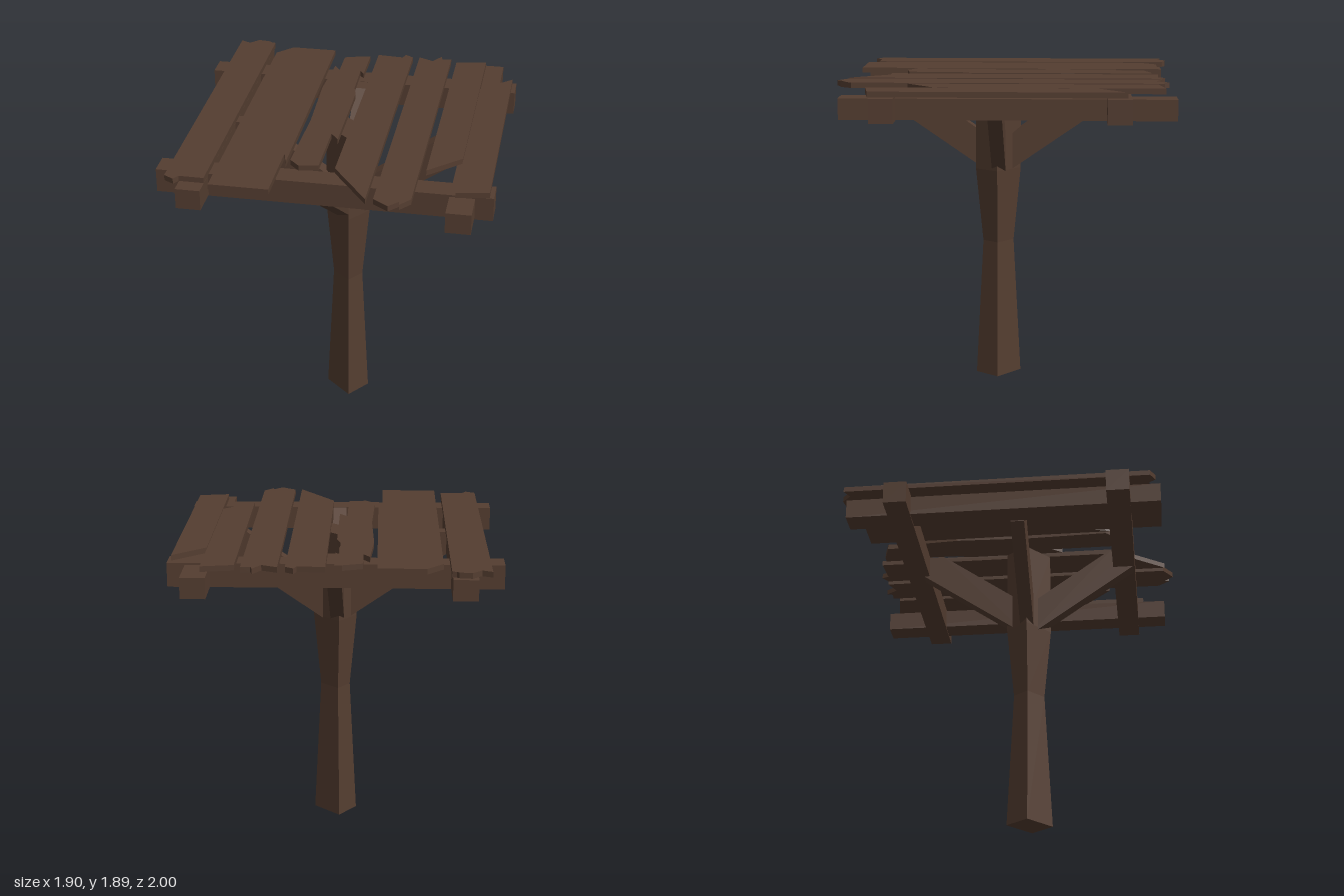
import * as THREE from 'three';

const wood = new THREE.MeshStandardMaterial({ color: 0x543d30 });
wood.name = 'dark brown wood';

function add(group, name, geometry) {
  const mesh = new THREE.Mesh(geometry, wood);
  mesh.name = name;
  group.add(mesh);
  return mesh;
}

// Box given by its limits on each axis
function beam(group, name, [x0, x1], [y0, y1], [z0, z1]) {
  add(group, name, new THREE.BoxGeometry(x1 - x0, y1 - y0, z1 - z0))
    .position.set((x0 + x1) / 2, (y0 + y1) / 2, (z0 + z1) / 2);
}

// Flat board cut to an outline of [x, y] points
function board(points, depth) {
  const shape = new THREE.Shape(points.map(([x, y]) => new THREE.Vector2(x, y)));
  return new THREE.ExtrudeGeometry(shape, { depth, bevelEnabled: false });
}

// Waisted four-sided post built from [height, scale] sections
function postGeometry() {
  const corners = [[0.0275, 0.1375], [0.1325, 0.0025], [-0.0275, -0.1375], [-0.1325, -0.0025]];
  const rings = [[0, 1], [0.855, 0.68], [1.31, 1], [1.858, 1]]
    .map(([y, s]) => corners.map(([x, z]) => [x * s, y, z * s]));
  const pos = [];
  const quad = (a, b, c, d) => pos.push(...a, ...b, ...c, ...a, ...c, ...d);
  for (let r = 0; r < 3; r++) {
    for (let i = 0; i < 4; i++) {
      const j = (i + 1) % 4;
      quad(rings[r][i], rings[r][j], rings[r + 1][j], rings[r + 1][i]);
    }
  }
  quad(...rings[3]);
  quad(...[...rings[0]].reverse());
  const g = new THREE.BufferGeometry();
  g.setAttribute('position', new THREE.Float32BufferAttribute(pos, 3));
  g.computeVertexNormals();
  return g;
}

// Plank outlines, [x, z], with broken and splintered ends
const PLANKS = [
  [[-0.868, -0.974], [-0.81, -0.947], [-0.757, -1], [-0.683, -0.99], [-0.67, -0.977], [-0.645, -0.973],
    [-0.645, 0.873], [-0.788, 0.873], [-0.81, 0.91], [-0.868, 0.878]],
  [[-0.605, -0.825], [-0.513, -0.925], [-0.238, -0.925], [-0.238, 0.614], [-0.265, 0.513],
    [-0.265, 0.937], [-0.605, 0.937]],
  [[-0.159, -0.83], [-0.042, -0.868], [0, -0.868], [0, -0.608], [-0.026, -0.645], [-0.021, -0.397],
    [0, -0.317], [0, 0.29], [-0.048, 0.228], [-0.048, 0.619], [-0.159, 0.64], [-0.217, 0.582],
    [-0.201, 0.08], [-0.217, -0.37], [-0.196, -0.693], [-0.159, -0.64]],
  [[0.048, -0.905], [0.206, -0.894], [0.222, -0.937], [0.27, -0.905], [0.27, 0.947], [0.048, 0.635]],
  [[0.312, -0.915], [0.402, -0.873], [0.45, -0.947], [0.46, -0.91], [0.516, -0.915], [0.516, 0.905],
    [0.46, 0.974], [0.455, 0.942], [0.402, 1], [0.312, 0.937]],
  [[0.553, -0.878], [0.739, -0.91], [0.739, 0.397], [0.553, 0.571]],
  [[0.741, -0.519], [0.926, -0.688], [0.926, 0.762], [0.741, 0.794]],
];

export function createModel() {
  const model = new THREE.Group();
  model.name = 'woodenPlatform';

  add(model, 'post', postGeometry()).position.set(0.0225, 0, 0.0675);

  // Crossing frame beams
  const frame = new THREE.Group();
  frame.name = 'frame';
  model.add(frame);
  beam(frame, 'backCrossBeam', [-0.955, 0.95], [1.717, 1.857], [-0.713, -0.574]);
  beam(frame, 'frontCrossBeam', [-0.955, 0.95], [1.717, 1.857], [0.617, 0.755]);
  beam(frame, 'rightLongBeam', [-0.795, -0.653], [1.725, 1.846], [-0.97, 0.937]);
  beam(frame, 'leftLongBeam', [0.705, 0.847], [1.725, 1.846], [-0.97, 0.937]);

  // Four diagonal braces around the post
  const profile = [[0, 1.25], [0.68, 1.719], [0.68, 1.855], [0.55, 1.855], [0, 1.47]];
  ['leftBrace', 'backBrace', 'rightBrace', 'frontBrace'].forEach((name, i) => {
    const brace = add(model, name, board(profile, 0.084).translate(0, 0, -0.042));
    brace.rotation.y = i * Math.PI / 2;
    brace.position.set(i % 2 ? 0.008 : 0.0225, 0, i % 2 ? 0.0675 : 0.062);
  });

  // Deck of broken planks
  const deck = new THREE.Group();
  deck.name = 'deck';
  model.add(deck);
  PLANKS.forEach((outline, i) => {
    const g = board(outline, 0.032).rotateX(Math.PI / 2);
    add(deck, `plank${i + 1}`, g).position.y = 1.895;
  });

  return model;
}
